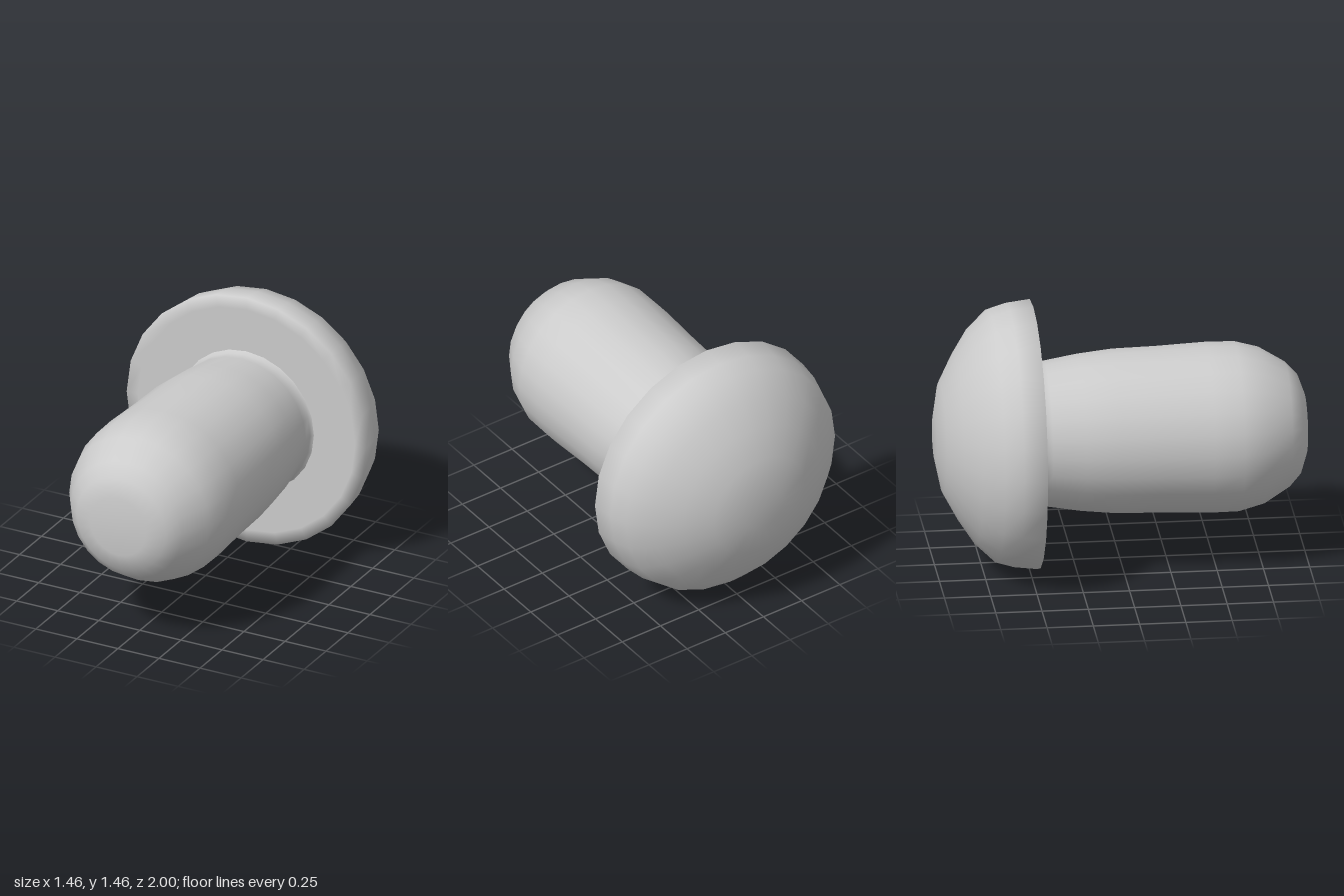
import * as THREE from 'three';

const SIDES = 24;
const AXIS_HEIGHT = 0.73;

// Smooth turned part lying along z; profile points are [radius, z], back to front.
function turned(name, profile, material) {
  const points = profile.map(([r, z]) => new THREE.Vector2(r, z));
  const geometry = new THREE.LatheGeometry(points, SIDES);
  geometry.rotateX(Math.PI / 2);
  const mesh = new THREE.Mesh(geometry, material);
  mesh.name = name;
  mesh.position.y = AXIS_HEIGHT;
  return mesh;
}

export function createModel() {
  const group = new THREE.Group();
  group.name = 'domedPlug';
  const grey = new THREE.MeshStandardMaterial({ color: 0xcccccc, side: THREE.DoubleSide });

  // Domed cap at the back with a flat underside around the stem
  group.add(turned('cap', [
    [0, -1], [0.13, -1], [0.3, -0.965], [0.45, -0.885], [0.58, -0.8],
    [0.685, -0.69], [0.715, -0.59], [0.73, -0.465],
    [0.66, -0.465], [0.5, -0.465], [0.4, -0.465],
  ], grey));

  // Stem: narrow neck, gentle swell and rounded front end
  group.add(turned('stem', [
    [0.41, -0.465], [0.395, -0.45], [0.395, -0.4], [0.425, -0.22], [0.445, -0.03],
    [0.45, 0.2], [0.462, 0.47], [0.46, 0.63], [0.425, 0.76], [0.34, 0.9],
    [0.27, 0.965], [0.17, 1], [0, 1],
  ], grey));

  return group;
}
